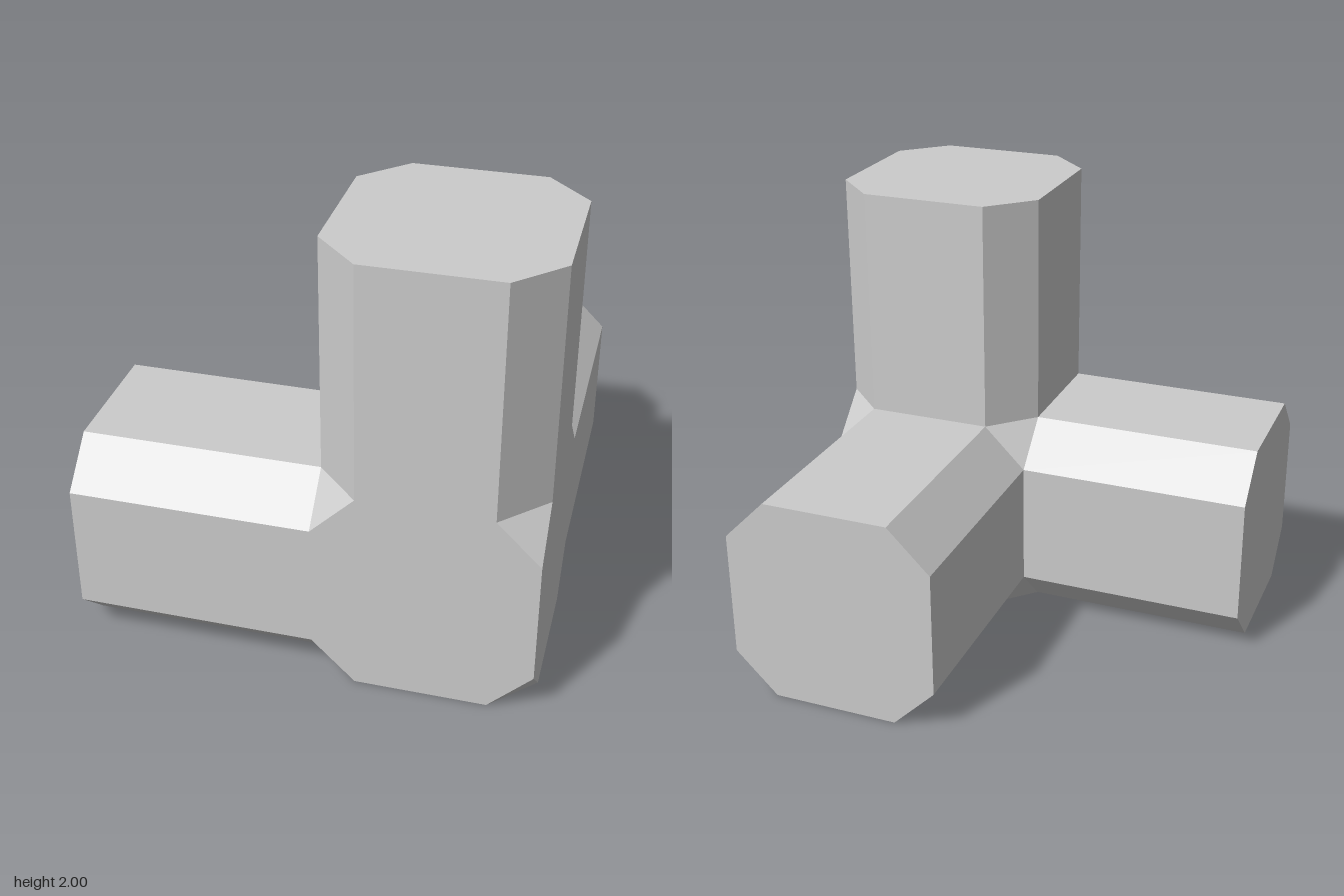
import * as THREE from 'three';
import { ConvexGeometry } from 'three/addons/geometries/ConvexGeometry.js';

const HALF = 0.476;          // half width of hub and arms
const CUT = 0.19;            // corner chamfer
const FLAT = HALF - CUT;     // half length of the uncut edges
const ARM = 2 - 2 * HALF;    // arm length beyond the hub

export function createModel() {
  const group = new THREE.Group();
  group.name = 'cornerConnector';
  const grey = new THREE.MeshStandardMaterial({ color: 0xcccccc });
  grey.name = 'plain grey';

  const centre = new THREE.Group();
  centre.name = 'connector';
  centre.position.set(1 - HALF, HALF, 1 - HALF);
  group.add(centre);

  // Hub: a cube with all eight corners cut off
  const points = [];
  for (const x of [-1, 1]) for (const y of [-1, 1]) for (const z of [-1, 1]) {
    points.push(
      new THREE.Vector3(x * FLAT, y * HALF, z * HALF),
      new THREE.Vector3(x * HALF, y * FLAT, z * HALF),
      new THREE.Vector3(x * HALF, y * HALF, z * FLAT));
  }
  const hub = new THREE.Mesh(new ConvexGeometry(points), grey);
  hub.name = 'hub';
  centre.add(hub);

  // Arms: chamfered square bars leaving three sides of the hub
  const section = new THREE.Shape([
    [FLAT, -HALF], [HALF, -FLAT], [HALF, FLAT], [FLAT, HALF],
    [-FLAT, HALF], [-HALF, FLAT], [-HALF, -FLAT], [-FLAT, -HALF],
  ].map(([x, y]) => new THREE.Vector2(x, y)));
  const bar = new THREE.ExtrudeGeometry(section, { depth: ARM, bevelEnabled: false });
  bar.translate(0, 0, HALF);

  const arms = [
    ['upperArm', -Math.PI / 2, 0],
    ['rightArm', 0, -Math.PI / 2],
    ['backArm', 0, Math.PI],
  ];
  for (const [name, rx, ry] of arms) {
    const arm = new THREE.Mesh(bar, grey);
    arm.name = name;
    arm.rotation.set(rx, ry, 0);
    centre.add(arm);
  }
  return group;
}
